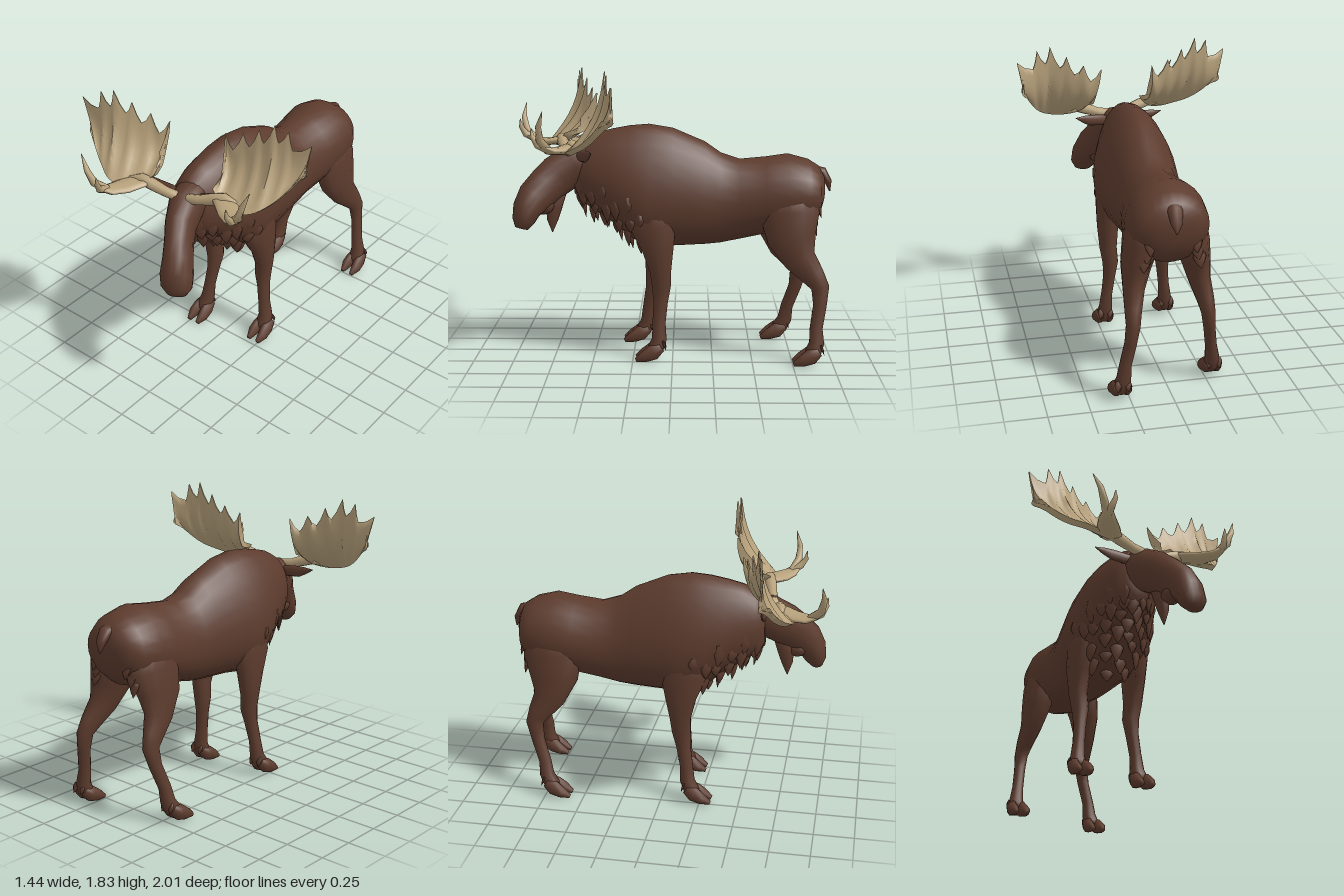
import * as THREE from 'three';
import { toCreasedNormals } from 'three/addons/utils/BufferGeometryUtils.js';

const V = (x, y, z) => new THREE.Vector3(x, y, z);
const X = V(1, 0, 0), Y = V(0, 1, 0), Z = V(0, 0, 1);

const hide = new THREE.MeshStandardMaterial({ color: 0x5c3b2d });
hide.name = 'brownHide';
const bone = new THREE.MeshStandardMaterial({ color: 0xb8a27c });
bone.name = 'antlerBone';

function add(parent, name, geometry, material = hide) {
  const mesh = new THREE.Mesh(geometry, material);
  mesh.name = name;
  parent.add(mesh);
  return mesh;
}

// Closed skin over a list of rings with equal point counts
function skin(rings) {
  const n = rings[0].length, pos = [], idx = [];
  rings.forEach(r => r.forEach(p => pos.push(p.x, p.y, p.z)));
  for (let i = 0; i < rings.length - 1; i++) {
    for (let j = 0; j < n; j++) {
      const k = (j + 1) % n, a = i * n + j, b = i * n + k;
      idx.push(a, b, b + n, a, b + n, a + n);
    }
  }
  [0, rings.length - 1].forEach((r, end) => {
    const c = rings[r].reduce((s, p) => s.add(p), V(0, 0, 0)).divideScalar(n);
    const ci = pos.length / 3;
    pos.push(c.x, c.y, c.z);
    for (let j = 0; j < n; j++) {
      const a = r * n + j, b = r * n + (j + 1) % n;
      if (end) idx.push(ci, a, b); else idx.push(ci, b, a);
    }
  });
  const g = new THREE.BufferGeometry();
  g.setAttribute('position', new THREE.Float32BufferAttribute(pos, 3));
  g.setIndex(idx);
  g.computeVertexNormals();
  return g;
}

// Oval sections [x, y, z, halfWidth, halfDepth, topTaper] along a path
function loft(rows, side = X, seg = 12, fixedT = null) {
  const c = rows.map(r => V(r[0], r[1], r[2]));
  return skin(rows.map((r, i) => {
    const t = fixedT || c[Math.min(i + 1, c.length - 1)].clone().sub(c[Math.max(i - 1, 0)]).normalize();
    const s = side.clone().addScaledVector(t, -side.dot(t)).normalize();
    const u = t.clone().cross(s);
    return Array.from({ length: seg }, (_, j) => {
      const a = j / seg * Math.PI * 2, w = r[3] * (1 - (r[5] || 0) * Math.sin(a));
      return c[i].clone().addScaledVector(s, w * Math.cos(a)).addScaledVector(u, r[4] * Math.sin(a));
    });
  }));
}

// Flat pointed lock of fur lying on a surface that faces "out"
function tuft(parent, name, p, dir, len, r, out = Z) {
  const side = out.clone().cross(dir).normalize();
  const rows = [[-0.35, 0.7], [0.2, 1], [0.6, 0.65], [1, 0.04]].map(([t, k]) => {
    const q = p.clone().addScaledVector(dir, t * len);
    return [q.x, q.y, q.z, r * k, r * k * 0.4];
  });
  add(parent, name, loft(rows, side, 6));
}

// Body stations: z, top, bottom, half width, top taper
const BODY = [
  [-0.95, 1.16, 1.0, 0.09, 0], [-0.92, 1.22, 0.9, 0.18, 0], [-0.85, 1.265, 0.84, 0.225, 0],
  [-0.72, 1.3, 0.8, 0.245, 0.05], [-0.58, 1.28, 0.79, 0.233, 0.1], [-0.42, 1.265, 0.755, 0.207, 0.1],
  [-0.3, 1.305, 0.73, 0.21, 0.15], [-0.2, 1.375, 0.72, 0.22, 0.2], [0, 1.46, 0.71, 0.245, 0.25],
  [0.15, 1.485, 0.69, 0.255, 0.28], [0.27, 1.475, 0.77, 0.24, 0.28], [0.38, 1.455, 0.86, 0.205, 0.25],
  [0.48, 1.43, 0.93, 0.17, 0.2], [0.56, 1.385, 0.98, 0.135, 0.1], [0.62, 1.33, 1.04, 0.085, 0]];

function bodyPoint(z, a) {
  let i = 0;
  while (i < BODY.length - 2 && BODY[i + 1][0] < z) i++;
  const f = (z - BODY[i][0]) / (BODY[i + 1][0] - BODY[i][0]);
  const [, top, bot, w, t] = BODY[i].map((v, k) => v + (BODY[i + 1][k] - v) * f);
  return V(w * (1 - t * Math.sin(a)) * Math.cos(a), (top + bot) / 2 + (top - bot) / 2 * Math.sin(a), z);
}

function makeBody(g) {
  add(g, 'body', loft(BODY.map(([z, t, b, w, k]) => [0, (t + b) / 2, z, w, (t - b) / 2, k]), X, 24, Z));
  add(g, 'tail', loft([[0, 1.2, -0.86, 0.04, 0.03], [0, 1.18, -0.94, 0.045, 0.035],
    [0, 1.12, -0.98, 0.035, 0.022], [0, 1.06, -0.99, 0.004, 0.004]]));
  // Shaggy mane on chest and throat
  for (let r = 0; r < 6; r++) {
    for (let k = -3; k <= 3; k++) {
      const z = 0.2 + r * 0.075 + (k % 2 ? 0.02 : 0);
      const a = -Math.PI / 2 + k * 0.38 + (r % 2 ? 0.1 : -0.1);
      const out = V(Math.cos(a), Math.sin(a) * 0.3, 0.6).normalize();
      const dir = V(Math.cos(a) * -0.05, -1, -0.12).normalize();
      const p = bodyPoint(z, a).addScaledVector(out, -0.012);
      tuft(g, 'maneTuft', p, dir, 0.07 + 0.02 * ((r + k + 6) % 3), 0.042, out);
    }
  }
  // Ragged fur along the buttocks
  for (const s of [-1, 1]) {
    for (let i = 0; i < 6; i++) {
      tuft(g, 'rumpTuft', V(s * (0.08 + 0.016 * i), 1.16 - i * 0.055, -0.905 + (i > 3 ? 0.006 * i : 0)),
        V(s * 0.1, -1, -0.25).normalize(), 0.085, 0.04);
    }
  }
}

// Legs as [x, y, z, halfWidth, halfDepth] from top to fetlock
const FRONT = [[0.13, 1.15, 0.13, 0.05, 0.08], [0.16, 1.02, 0.13, 0.085, 0.15], [0.178, 0.86, 0.12, 0.08, 0.145],
  [0.19, 0.72, 0.09, 0.068, 0.1], [0.19, 0.58, 0.075, 0.056, 0.068], [0.178, 0.48, 0.07, 0.051, 0.06],
  [0.185, 0.38, 0.075, 0.039, 0.046], [0.2, 0.25, 0.085, 0.036, 0.042], [0.21, 0.15, 0.083, 0.044, 0.047],
  [0.215, 0.09, 0.105, 0.053, 0.05], [0.217, 0.06, 0.12, 0.05, 0.04]];
const HIND = [[0.09, 1.16, -0.725, 0.05, 0.08], [0.125, 1.06, -0.725, 0.1, 0.16], [0.148, 0.94, -0.725, 0.106, 0.19],
  [0.183, 0.79, -0.74, 0.086, 0.155], [0.205, 0.66, -0.792, 0.063, 0.103], [0.225, 0.56, -0.875, 0.05, 0.073],
  [0.235, 0.49, -0.918, 0.042, 0.057], [0.25, 0.38, -0.916, 0.036, 0.042], [0.275, 0.24, -0.893, 0.036, 0.04],
  [0.287, 0.15, -0.897, 0.044, 0.047], [0.295, 0.09, -0.875, 0.053, 0.05], [0.297, 0.06, -0.86, 0.05, 0.04]];

function makeLeg(g, name, rows, s, stride) {
  const leg = new THREE.Group();
  leg.name = name;
  g.add(leg);
  const path = rows.map(([x, y, z, w, d]) => [s * x, y, z + stride * Math.max(0, 1 - y), w, d]);
  add(leg, 'limb', loft(path, X, 14));
  const [fx, , fz] = path[path.length - 1];
  // Cloven hoof and dewclaws
  for (const k of [-1, 1]) {
    const x = fx + k * 0.028;
    add(leg, 'toe', loft([[x, 0.105, fz - 0.05, 0.028, 0.03], [x + k * 0.004, 0.073, fz, 0.036, 0.05],
      [x + k * 0.01, 0.047, fz + 0.055, 0.033, 0.036], [x + k * 0.006, 0.023, fz + 0.108, 0.014, 0.014]], X, 10));
    tuft(leg, 'dewclaw', V(x, 0.13, fz - 0.065), V(k * 0.1, -0.9, -0.3).normalize(), 0.05, 0.022);
  }
}

function makeHead(g) {
  const side = V(0.95, 0, -0.3).normalize();
  add(g, 'head', loft([[0, 1.26, 0.5, 0.11, 0.12], [0.03, 1.225, 0.63, 0.105, 0.132], [0.07, 1.165, 0.725, 0.09, 0.13],
    [0.115, 1.105, 0.795, 0.083, 0.12], [0.16, 1.04, 0.86, 0.088, 0.11], [0.187, 0.97, 0.905, 0.1, 0.088],
    [0.2, 0.9, 0.925, 0.095, 0.068], [0.207, 0.855, 0.935, 0.06, 0.04]], side, 18));
  const chin = add(g, 'chin', new THREE.SphereGeometry(0.065, 14, 10));
  chin.position.set(0.125, 0.985, 0.81);
  chin.scale.set(0.95, 0.87, 1.1);
  // Hanging dewlap under the jaw
  add(g, 'dewlap', loft([[0.08, 1.08, 0.72, 0.04, 0.06], [0.09, 0.97, 0.745, 0.035, 0.052],
    [0.095, 0.89, 0.755, 0.025, 0.036], [0.095, 0.81, 0.757, 0.003, 0.003]], side));
}

// Palm: front edge, and rim alternating between tine tips and notches
const EDGE = [[0.19, 1.42, -0.03], [0.25, 1.37, 0], [0.36, 1.345, 0.04], [0.46, 1.36, 0.035],
  [0.55, 1.405, -0.03], [0.62, 1.47, -0.09], [0.68, 1.55, -0.14]];
const RIM = [[0.205, 1.52, -0.12], [0.18, 1.68, -0.22], [0.24, 1.6, -0.19], [0.3, 1.71, -0.21], [0.35, 1.65, -0.18],
  [0.41, 1.77, -0.19], [0.445, 1.7, -0.17], [0.515, 1.835, -0.17], [0.54, 1.73, -0.16], [0.6, 1.815, -0.165],
  [0.625, 1.7, -0.16], [0.735, 1.75, -0.17], [0.695, 1.63, -0.175], [0.7, 1.59, -0.165]];

function makeAntler(g, s) {
  const at = ([x, y, z]) => V(s * x, y - 1.35, z);
  const tube = (name, rows, mat = bone) =>
    add(g, name, loft(rows.map(r => [...at(r).toArray(), r[3], r[4] || r[3]]), Y, 10), mat);
  tube('antlerBeam', [[0.02, 1.325, 0, 0.03], [0.11, 1.34, 0, 0.03], [0.2, 1.37, 0, 0.036],
    [0.27, 1.39, 0, 0.034], [0.35, 1.38, 0, 0.01]]);

  // Cupped palm; extra hollowed points keep the tines slender
  const rim = RIM.flatMap((p, i) => {
    const b = at(p);
    return i ? [at(RIM[i - 1]).lerp(b, 0.5).add(V(0, -0.015, 0)), b] : [b];
  });
  const edge = new THREE.CatmullRomCurve3(EDGE.map(at));
  const n = V(0, 0.42, 0.907);
  const rings = rim.map((b, i) => {
    const u = i / (rim.length - 1), a = edge.getPoint(u);
    const bow = V(s * 0.015 * u, -0.02, -0.06 * (1 - 0.6 * u));
    const row = face => Array.from({ length: 9 }, (_, k) => {
      const v = k / 8;
      return a.clone().lerp(b, v).addScaledVector(bow, Math.sin(Math.PI * v))
        .addScaledVector(n, face * (0.016 * (1 - v) + 0.004));
    });
    const ring = [...row(1).reverse(), ...row(-1)];
    return s > 0 ? ring : ring.reverse();
  });
  add(g, 'antlerPalm', toCreasedNormals(skin(rings), 1.1), bone);

  // Forward brow blade and its tines
  tube('browBlade', [[0.25, 1.38, -0.01, 0.025, 0.06], [0.34, 1.365, 0.07, 0.025, 0.075],
    [0.4, 1.37, 0.15, 0.022, 0.055], [0.43, 1.4, 0.2, 0.014, 0.03]]);
  const root = [0.41, 1.38, 0.16, 0.025];
  tube('browTine', [root, [0.46, 1.44, 0.21, 0.024], [0.49, 1.52, 0.22, 0.018], [0.53, 1.61, 0.2, 0.002]]);
  tube('browTine', [root, [0.42, 1.41, 0.22, 0.022], [0.41, 1.46, 0.25, 0.015], [0.41, 1.51, 0.255, 0.002]]);

  tube('ear', [[0.05, 1.3, -0.06, 0.025, 0.02], [0.12, 1.305, -0.08, 0.036, 0.022],
    [0.2, 1.312, -0.09, 0.036, 0.018], [0.25, 1.325, -0.1, 0.024, 0.013], [0.31, 1.34, -0.11, 0.002]], hide);
}

export function createModel() {
  const model = new THREE.Group();
  model.name = 'moose';
  makeBody(model);
  makeLeg(model, 'frontLeftLeg', FRONT, 1, 0);
  makeLeg(model, 'frontRightLeg', FRONT, -1, 0.1);
  makeLeg(model, 'hindLeftLeg', HIND, 1, 0);
  makeLeg(model, 'hindRightLeg', HIND, -1, 0.18);
  makeHead(model);
  // Antlers and ears follow the turned head
  const crown = new THREE.Group();
  crown.name = 'antlersAndEars';
  crown.position.set(0.04, 1.337, 0.665);
  crown.rotation.set(0, 0.22, 0.03);
  for (const s of [1, -1]) makeAntler(crown, s);
  model.add(crown);
  return model;
}
